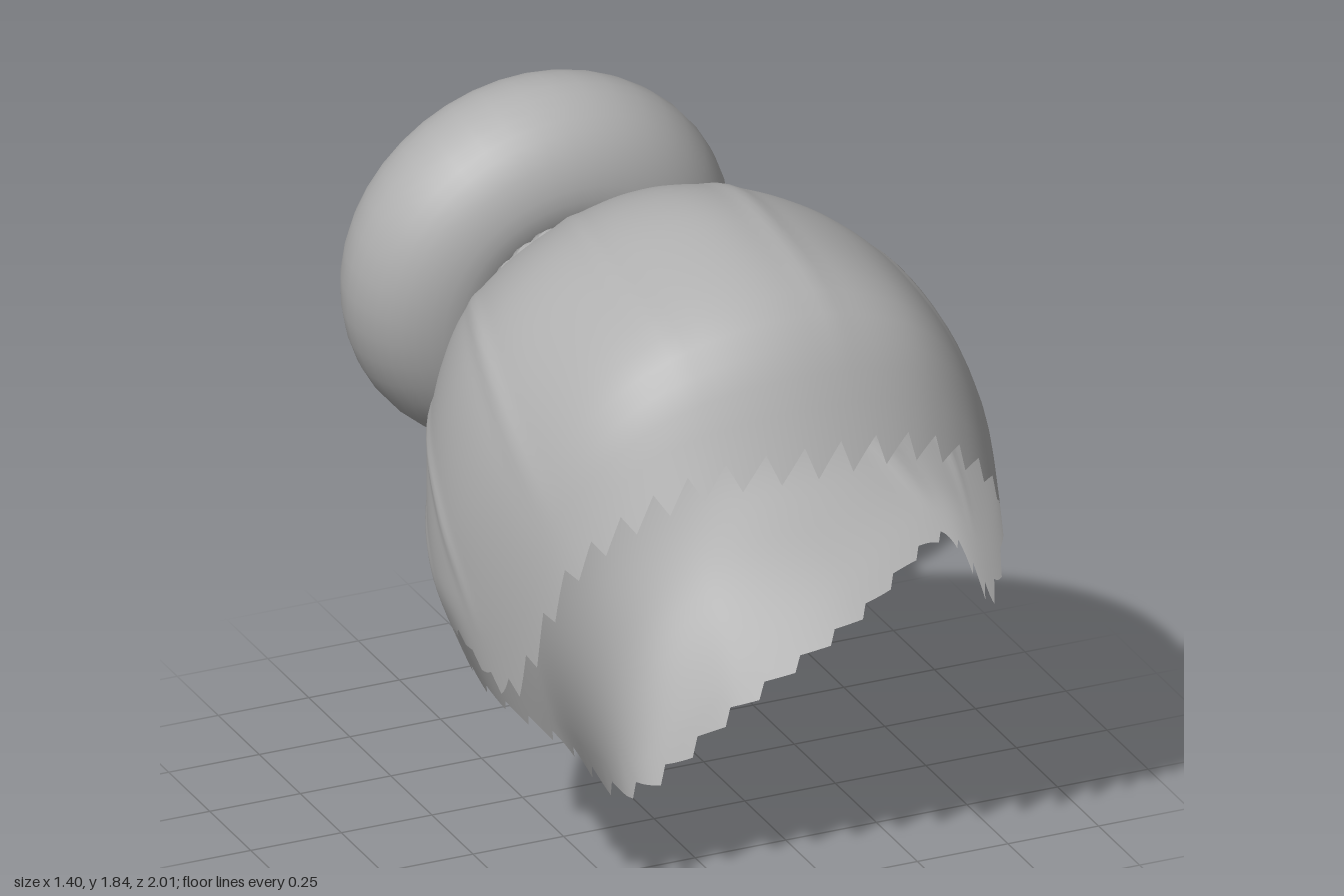
import * as THREE from 'three';
import { mergeVertices } from 'three/addons/utils/BufferGeometryUtils.js';

const hair = new THREE.MeshStandardMaterial({ color: 0xb0b0b0, side: THREE.DoubleSide });
hair.name = 'hairGrey';

// Combed lines from the band to the hairline, crown to nape, on the +x side
const meridians = [
  [[0, 1.46, -.38], [0, 1.64, -.2], [0, 1.8, .1], [0, 1.835, .4], [0, 1.73, .78], [0, 1.39, 1]],
  [[.13, 1.42, -.39], [.24, 1.57, -.2], [.33, 1.7, .1], [.37, 1.705, .4], [.38, 1.62, .74], [.33, 1.35, .94]],
  [[.22, 1.33, -.4], [.42, 1.43, -.2], [.55, 1.5, .1], [.6, 1.46, .38], [.61, 1.33, .64], [.57, 1.15, .82]],
  [[.26, 1.2, -.43], [.46, 1.2, -.27], [.62, 1.19, 0], [.69, 1.1, .25], [.69, .95, .45], [.66, .73, .6]],
  [[.24, 1.1, -.45], [.42, 1.05, -.32], [.56, 1, -.12], [.65, .93, .06], [.68, .86, .18], [.67, .77, .29]],
  [[.17, 1, -.47], [.31, .9, -.38], [.41, .8, -.26], [.47, .7, -.12], [.51, .6, .01], [.51, .5, .12]],
  [[.09, .96, -.48], [.17, .82, -.42], [.22, .67, -.34], [.25, .52, -.24], [.26, .38, -.12], [.24, .24, -.01]],
  [[0, .94, -.48], [0, .78, -.44], [0, .6, -.37], [0, .4, -.28], [0, .2, -.2], [0, 0, -.13]],
].map(m => m.map(p => new THREE.Vector3(...p)));

const mirrored = meridians.slice(1, -1).reverse()
  .map(m => m.map(p => new THREE.Vector3(-p.x, p.y, p.z)));
const lines = [...meridians, ...mirrored].map(m => new THREE.CatmullRomCurve3(m));

// Closed loop around the cap at distance t from the band
const loopAt = t => new THREE.CatmullRomCurve3(lines.map(l => l.getPoint(t)), true);

// Soft raised strands: position around the cap
const ridges = [0.03, 0.13, 0.235, 0.29, 0.71, 0.775, 0.86, 0.95];
const ridgeHeight = (u, t) => ridges.reduce((sum, r, i) => {
  const d = (u - r - 0.006 * Math.sin(t * 7 + i)) / 0.006;
  return sum + Math.exp(-d * d);
}, 0) * 0.01 * Math.sin(Math.PI * Math.min(1, t * 1.15));

function capGeometry() {
  const cols = 240, rows = 24, inset = 0.92, pos = [], idx = [];
  const centre = new THREE.Vector3(0, 1.1, 0.2);
  const edge = loopAt(1), inner = loopAt(inset);
  for (let r = 0; r <= rows; r++) {
    const t = inset * Math.min(1, r / (rows - 1));
    const loop = loopAt(t);
    for (let c = 0; c < cols; c++) {
      const u = c / cols;
      const p = loop.getPoint(u);
      if (r === rows) {
        // saw-tooth locks along the hairline
        p.copy(inner.getPoint(u)).lerp(edge.getPoint(u), 0.55 + 0.5 * (1 - (c % 5) / 4));
      } else {
        p.sub(centre).multiplyScalar(1 + ridgeHeight(u, t)).add(centre);
      }
      pos.push(p.x, Math.max(0, p.y), p.z);
      if (r < rows) {
        const a = r * cols + c, b = r * cols + (c + 1) % cols;
        idx.push(a, a + cols, b, b, a + cols, b + cols);
      }
    }
  }
  const g = new THREE.BufferGeometry();
  g.setAttribute('position', new THREE.Float32BufferAttribute(pos, 3));
  g.setIndex(idx);
  g.computeVertexNormals();
  return g;
}

// Rope-like ring: a torus with slanted bulges
function bandGeometry() {
  const ring = 0.265;
  const g = new THREE.TorusGeometry(ring, 0.04, 14, 192);
  const p = g.attributes.position, v = new THREE.Vector3(), c = new THREE.Vector3();
  for (let i = 0; i < p.count; i++) {
    v.fromBufferAttribute(p, i);
    const a = Math.atan2(v.y, v.x);
    c.set(Math.cos(a) * ring, Math.sin(a) * ring, 0);
    const tubeAngle = Math.atan2(v.z, Math.hypot(v.x, v.y) - ring);
    const swell = 0.78 + 0.3 * Math.abs(Math.sin(a * 14 + tubeAngle * 2));
    v.sub(c).multiplyScalar(swell).add(c);
    p.setXYZ(i, v.x, v.y, v.z);
  }
  g.deleteAttribute('uv');
  g.deleteAttribute('normal');
  const merged = mergeVertices(g, 1e-5);
  merged.computeVertexNormals();
  return merged;
}

// Lathe around z through a smooth [radius, z] outline
function turned(outline, steps) {
  const curve = new THREE.SplineCurve(outline.map(([r, z]) => new THREE.Vector2(r, z)));
  const profile = curve.getPoints(steps).map(p => p.setX(Math.max(0, p.x)));
  return new THREE.LatheGeometry(profile, 40).rotateX(Math.PI / 2);
}

// Round bun, dimpled to a point on both faces
function bunGeometry() {
  const half = [[0, .07], [.04, .11], [.12, .175], [.22, .225], [.32, .235], [.42, .19], [.49, .11]];
  return turned([...half.map(([r, h]) => [r, -h]), [.52, 0], ...half.slice().reverse()], 42);
}

export function createModel() {
  const model = new THREE.Group();
  model.name = 'hairWithBun';
  const add = (name, geometry, y, z, tilt) => {
    const mesh = new THREE.Mesh(geometry, hair);
    mesh.name = name;
    mesh.position.set(0, y, z);
    mesh.rotation.x = tilt;
    model.add(mesh);
  };

  add('hairCap', capGeometry(), 0, 0, 0);
  // gathered hair narrowing through the band into the bun
  add('gatheredNeck', turned([[.12, -.1], [.16, -.04], [.21, .005], [.265, .03]], 10), 1.21, -0.435, 0.19);
  add('twistedBand', bandGeometry(), 1.21, -0.435, 0.19);
  add('bun', bunGeometry(), 1.25, -0.72, 0.16);
  return model;
}
